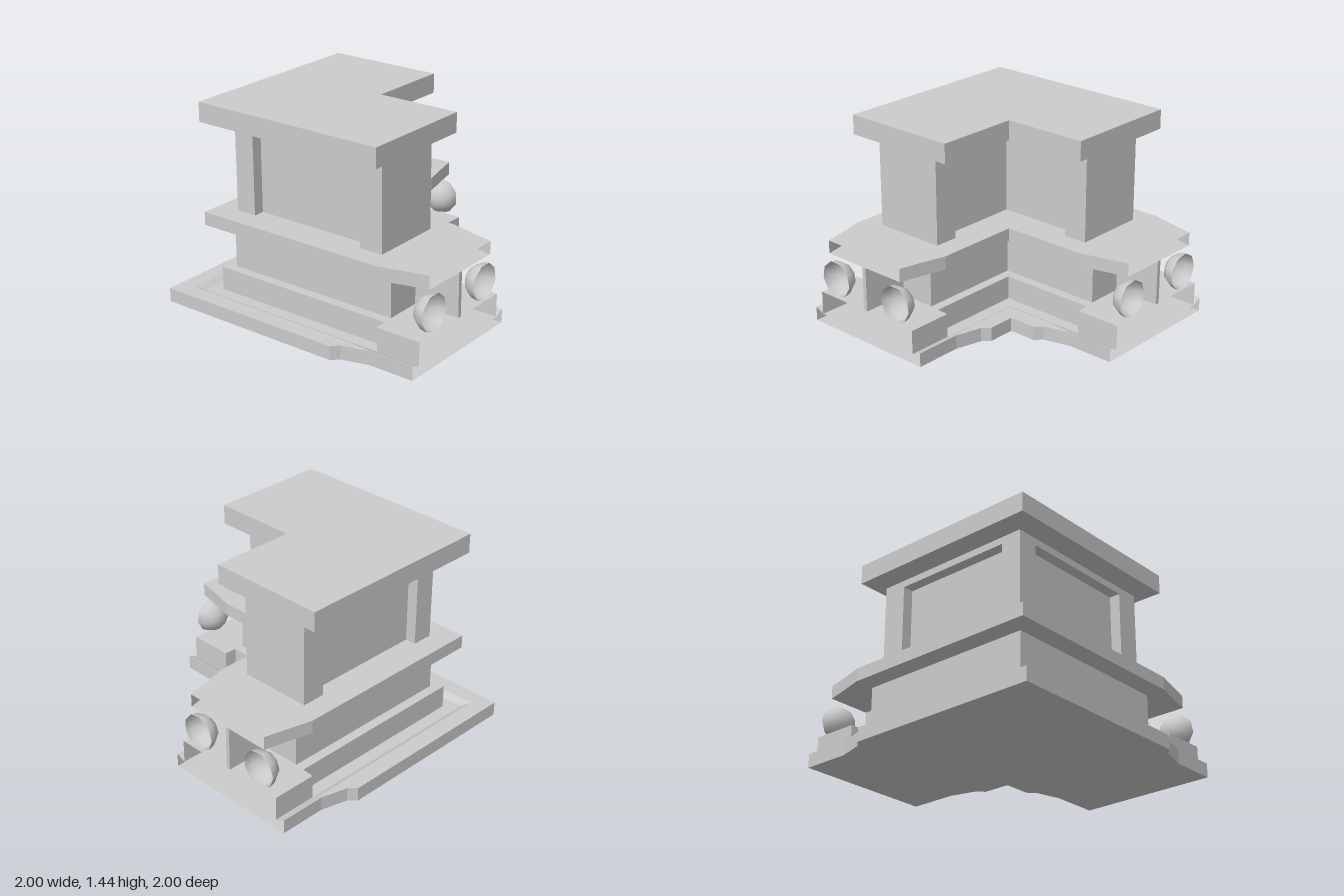
import * as THREE from 'three';

const C = 0.39; // distance of each arm's centre line from the axes
const mat = new THREE.MeshStandardMaterial({ color: 0xcccccc, flatShading: true, side: THREE.DoubleSide });
const smooth = new THREE.MeshStandardMaterial({ color: 0xcccccc, side: THREE.DoubleSide });

// One side of the L plan from [distance along arm, half width] stations; s = 1 outer, -1 inner
function sidePath(stations, s) {
  const arm = stations.map(([x, w]) => [x, C + s * w]);
  const k = C + s * stations[stations.length - 1][1];
  return [...arm, [-k, k], ...arm.map(([x, z]) => [-z, -x]).reverse()];
}

// Closed plan outline as a shape (shape y = -z)
function planShape(stations) {
  const pts = [...sidePath(stations, 1), ...sidePath(stations, -1).reverse()];
  return new THREE.Shape(pts.map(([x, z]) => new THREE.Vector2(x, -z)));
}

// Strip of quads between two polylines at two heights
function strip(a, ya, b, yb) {
  const pos = [];
  for (let i = 0; i < a.length - 1; i++) {
    const p = [a[i][0], ya, a[i][1]], q = [a[i + 1][0], ya, a[i + 1][1]];
    const r = [b[i + 1][0], yb, b[i + 1][1]], t = [b[i][0], yb, b[i][1]];
    pos.push(...p, ...q, ...r, ...p, ...r, ...t);
  }
  const g = new THREE.BufferGeometry();
  g.setAttribute('position', new THREE.Float32BufferAttribute(pos, 3));
  g.computeVertexNormals();
  return g;
}

export function createModel() {
  const root = new THREE.Group();
  const add = (name, geo, parent = root, m = mat) => {
    const mesh = new THREE.Mesh(geo, m);
    mesh.name = name;
    parent.add(mesh);
    return mesh;
  };
  const group = (name) => {
    const g = new THREE.Group();
    g.name = name;
    root.add(g);
    return g;
  };
  const box = (name, x0, x1, y0, y1, z0, z1, parent) =>
    add(name, new THREE.BoxGeometry(x1 - x0, y1 - y0, z1 - z0), parent)
      .position.set((x0 + x1) / 2, (y0 + y1) / 2, (z0 + z1) / 2);
  const walls = (name, a, ya, b, yb, parent) => {
    for (const s of [1, -1]) add(name, strip(sidePath(a, s), ya, sidePath(b, s), yb), parent);
  };
  const plate = (name, st, y, parent) =>
    add(name, new THREE.ShapeGeometry(planShape(st)).rotateX(-Math.PI / 2).translate(0, y, 0), parent);
  const solid = (name, st, y0, y1, parent) =>
    add(name, new THREE.ExtrudeGeometry(planShape(st), { depth: y1 - y0, bevelEnabled: false })
      .rotateX(-Math.PI / 2).translate(0, y0, 0), parent);

  // Base with a raised rim sloping down to the plinth, open at the arm ends
  const base = group('base');
  const edge = [[1, 0.51], [0.66, 0.51], [0.47, 0.56], [0.42, 0.61]];
  const lip = [[1, 0.505], [0.66, 0.505], [0.5, 0.49], [0.42, 0.49]];
  const foot = [[1, 0.44], [0.66, 0.44], [0.5, 0.44], [0.42, 0.44]];
  plate('baseUnderside', edge, 0, base);
  walls('baseEdge', edge, 0, edge, 0.1, base);
  walls('baseRim', edge, 0.1, lip, 0.1, base);
  walls('baseSlope', lip, 0.1, foot, 0.07, base);
  plate('baseFloor', [[1, 0.44]], 0.07, base);

  // Plinth, wider towards the open arm ends
  const plinth = group('plinth');
  const plinthPlan = [[1, 0.44], [0.67, 0.44], [0.665, 0.35]];
  walls('plinthWall', plinthPlan, 0.07, plinthPlan, 0.24, plinth);
  plate('plinthTop', plinthPlan, 0.24, plinth);

  // Middle body
  solid('middleBody', [[0.66, 0.28]], 0.24, 0.56);

  // Ledge, narrowing towards the open arm ends
  const ledge = group('ledge');
  const ledgePlan = [[1, 0.34], [0.83, 0.38], [0.66, 0.425]];
  walls('ledgeEdge', ledgePlan, 0.56, ledgePlan, 0.655, ledge);
  plate('ledgeUnderside', ledgePlan, 0.56, ledge);
  plate('ledgeTop', ledgePlan, 0.655, ledge);

  // Upper body: recessed panels between columns, with a lintel above
  const upper = group('upperBody');
  solid('recessedPanels', [[0.5, 0.185]], 0.655, 1.3, upper);
  solid('lintel', [[0.5, 0.265]], 1.25, 1.3, upper);
  box('cornerColumn', -0.655, -0.5, 0.655, 1.3, 0.5, 0.655, upper);
  box('rightEndColumn', 0.4, 0.575, 0.655, 1.3, 0.125, 0.655, upper);
  box('backEndColumn', -0.655, -0.125, 0.655, 1.3, -0.575, -0.4, upper);

  // Cap slab
  solid('capSlab', [[0.655, 0.43]], 1.3, 1.44);

  // Thin centre ribs on both arms
  box('rightRib', 0.66, 1, 0.24, 0.56, C - 0.015, C + 0.015);
  box('backRib', -C - 0.015, -C + 0.015, 0.24, 0.56, -1, -0.66);

  // Half balls, open where the arms are cut
  for (const s of [1, -1]) {
    const k = C + s * 0.285;
    const half = () => new THREE.SphereGeometry(0.132, 9, 4, 0, Math.PI * 2, 0, Math.PI / 2);
    add('rightHalfBall', half().rotateZ(Math.PI / 2), root, smooth).position.set(1, 0.38, k);
    add('backHalfBall', half().rotateX(Math.PI / 2), root, smooth).position.set(-k, 0.38, -1);
  }
  return root;
}
